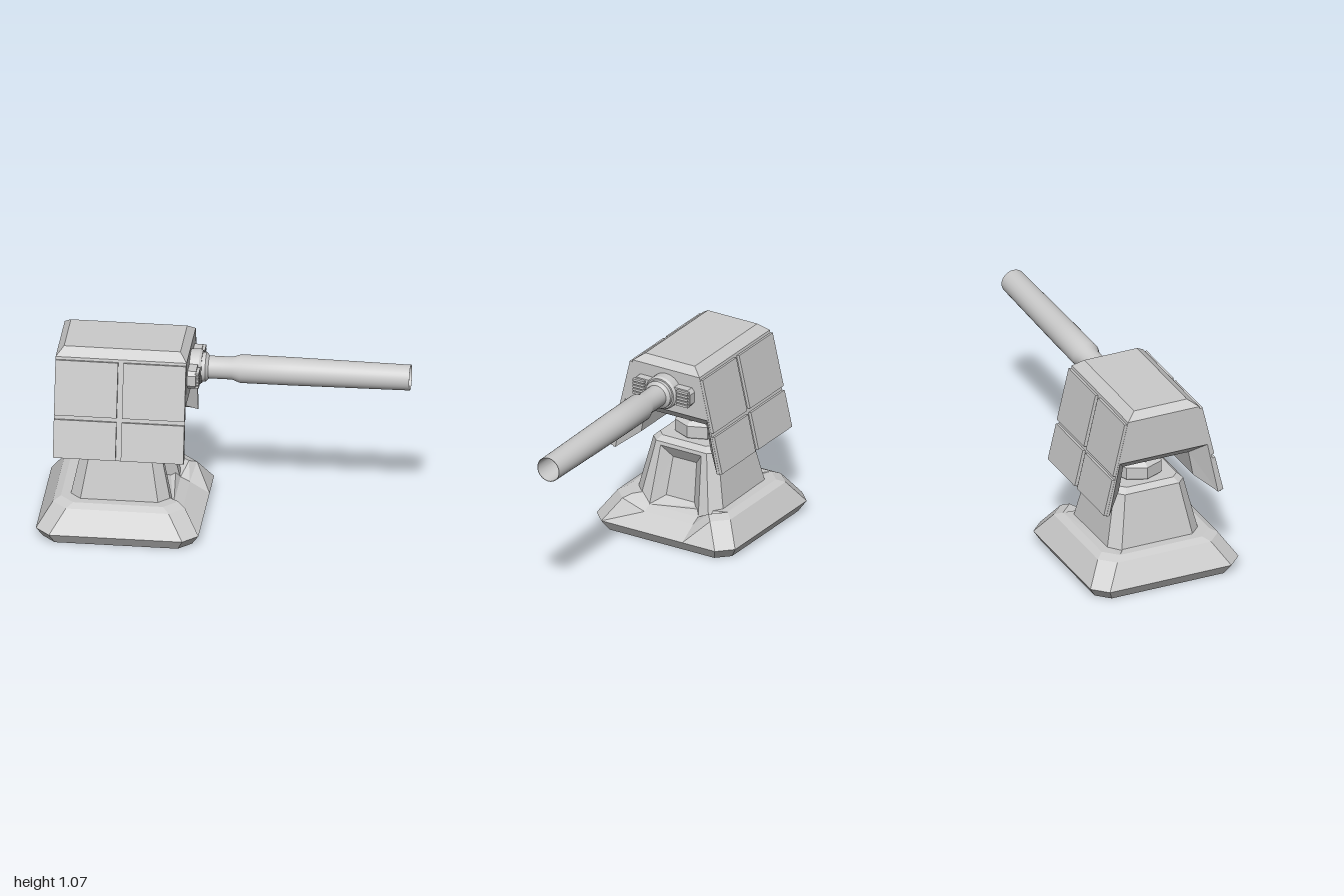
import * as THREE from 'three';
import { toCreasedNormals } from 'three/addons/utils/BufferGeometryUtils.js';

const material = new THREE.MeshStandardMaterial({ color: 0xcccccc, flatShading: true });
const smooth = new THREE.MeshStandardMaterial({ color: 0xcccccc, side: THREE.DoubleSide });

function add(parent, name, geometry, mat = material) {
  const mesh = new THREE.Mesh(geometry, mat);
  mesh.name = name;
  parent.add(mesh);
  return mesh;
}

// Skin between closed rings of [u, v, h] points, capped at both ends.
// Along 'y' the ring lies in (z, x); along 'x' it lies in (y, z).
function loft(rings, axis) {
  const out = [];
  const place = ([u, v, h]) => (axis === 'y' ? new THREE.Vector3(v, h, u) : new THREE.Vector3(h, u, v));
  const tri = (a, b, c) => {
    const p = [a, b, c].map(place);
    if (new THREE.Triangle(...p).getArea() > 1e-8) p.forEach((q) => out.push(q.x, q.y, q.z));
  };
  for (let i = 0; i + 1 < rings.length; i++) {
    const r = rings[i], s = rings[i + 1], n = r.length;
    for (let j = 0; j < n; j++) {
      const k = (j + 1) % n;
      tri(r[j], r[k], s[k]);
      tri(r[j], s[k], s[j]);
    }
  }
  const cap = (ring, flip) => {
    const faces = THREE.ShapeUtils.triangulateShape(ring.map(([u, v]) => new THREE.Vector2(u, v)), []);
    faces.forEach(([a, b, c]) => (flip ? tri(ring[a], ring[c], ring[b]) : tri(ring[a], ring[b], ring[c])));
  };
  cap(rings[0], true);
  cap(rings[rings.length - 1], false);
  const g = new THREE.BufferGeometry();
  g.setAttribute('position', new THREE.Float32BufferAttribute(out, 3));
  g.computeVertexNormals();
  return g;
}

// Square ring with cut corners; extra points go into its +x side.
function cutSquare(half, cut, y, extra = []) {
  const k = half - cut;
  const p = [[half, -k], [half, k], [k, half], [-k, half], [-half, k], [-half, -k], [-k, -half], [k, -half]];
  const ring = p.map(([u, v]) => [u, v, y]);
  ring.splice(3, 0, ...extra);
  return ring;
}

function buildStand() {
  const stand = new THREE.Group();
  stand.name = 'stand';

  // Sloping foot, dipped in the middle of its +x side
  const dip = (x, y) => [[0.155, x, y], [-0.155, x, y]];
  add(stand, 'foot', loft([
    cutSquare(0.405, 0.07, 0, dip(0.405, 0)),
    cutSquare(0.443, 0.08, 0.06, dip(0.443, 0.06)),
    cutSquare(0.36, 0.08, 0.185, dip(0.335, 0.125)),
    cutSquare(0.32, 0.075, 0.205, dip(0.285, 0.15)),
  ], 'y'));

  // Tapered tower with a bevelled recess: [y, half, cut, recess rim, recess floor, depth]
  const tower = [
    [0.14, 0.284, 0.06, 0.156, 0.156, 0],
    [0.15, 0.282, 0.06, 0.155, 0.155, 0],
    [0.195, 0.272, 0.059, 0.152, 0.09, 0.055],
    [0.41, 0.226, 0.05, 0.135, 0.075, 0.055],
    [0.48, 0.211, 0.046, 0.13, 0.13, 0],
    [0.5, 0.207, 0.045, 0.128, 0.128, 0],
    [0.527, 0.178, 0.04, 0.12, 0.12, 0],
  ];
  add(stand, 'tower', loft(tower.map(([y, h, c, w, n, d]) => cutSquare(h, c, y,
    [[w, h, y], [n, h - d, y], [-n, h - d, y], [-w, h, y]])), 'y'));

  // Eight-sided swivel, two steps
  const steps = [[0, 0.51], [0.13, 0.51], [0.147, 0.535], [0.147, 0.6], [0.12, 0.622],
    [0.098, 0.622], [0.098, 0.678], [0.07, 0.705], [0, 0.72]];
  add(stand, 'swivel', new THREE.LatheGeometry(steps.map(([r, y]) => new THREE.Vector2(r, y)), 8).toNonIndexed());
  stand.position.x = -0.557;
  return stand;
}

function buildHead() {
  const head = new THREE.Group();
  head.name = 'head';
  const half = 0.357;

  // Arched housing whose opening narrows inward from both ends
  const section = (x, [archZ, archY], [footZ, footY]) => [
    [0.48, 0.342], [0.48, -0.342].map((c) => c), [footY, -footZ], [archY, -archZ], [archY, archZ], [footY, footZ],
  ].map((p) => [...p, x]);
  const ring = (x, arch, foot) => {
    const s = section(x, arch, foot);
    return [s[0], [1.03, 0.213, x], [1.03, -0.213, x], ...s.slice(1)].reverse();
  };
  const wide = [[0.262, 0.785], [0.325, 0.48]], narrow = [[0.195, 0.705], [0.222, 0.56]];
  add(head, 'housing', loft([
    ring(-half, ...wide), ring(-half + 0.1, ...narrow), ring(half - 0.1, ...narrow), ring(half, ...wide),
  ].map(orient), 'x'));

  // Bevelled roof
  const rect = (x, z, y) => [[z, -x, y], [z, x, y], [-z, x, y], [-z, -x, y]];
  add(head, 'roof', loft([rect(half, 0.213, 1.03), rect(half - 0.04, 0.158, 1.07)], 'y'));

  // Two by two armour plates on each sloping side
  const tilt = Math.atan2(0.129, 0.55), thick = 0.017;
  for (const side of [1, -1]) {
    for (const [top, bottom] of [[1.015, 0.715], [0.692, 0.484]]) {
      for (const end of [1, -1]) {
        const y = (top + bottom) / 2, z = 0.213 + (1.03 - y) * Math.tan(tilt);
        const plate = add(head, 'armourPlate',
          new THREE.BoxGeometry(0.341, (top - bottom) / Math.cos(tilt), thick));
        plate.position.set(end * 0.185, y + Math.sin(tilt) * thick / 2, side * (z + Math.cos(tilt) * thick / 2));
        plate.rotation.x = -side * tilt;
      }
    }
  }
  head.position.x = -0.553;
  return head;
}

// Make a ring run counter-clockwise
function orient(ring) {
  const area = THREE.ShapeUtils.area(ring.map(([u, v]) => new THREE.Vector2(u, v)));
  return area < 0 ? ring.slice().reverse() : ring;
}

function buildGun() {
  const gun = new THREE.Group();
  gun.name = 'gun';
  const turned = (name, pts, segments) => {
    const g = new THREE.LatheGeometry(pts.map(([x, r]) => new THREE.Vector2(r, x)), segments);
    g.rotateZ(-Math.PI / 2);
    return add(gun, name, toCreasedNormals(g, 0.45), smooth);
  };
  turned('collar', [[-0.21, 0.096], [-0.145, 0.096], [-0.132, 0.088], [-0.132, 0.08],
    [-0.112, 0.08], [-0.097, 0.062]], 32);
  // Barrel with a tapering open bore
  turned('barrel', [[-0.15, 0.062], [0.03, 0.062], [0.075, 0.078], [0.35, 0.077], [1, 0.07],
    [1, 0.067], [0.6, 0.05], [0.6, 0]], 32);

  // Ribbed lugs either side of the collar
  const lug = [[0.05, 0.052], [0.165, 0.052], [0.183, 0.03], [0.183, -0.03], [0.165, -0.052], [0.05, -0.052]];
  for (const side of [1, -1]) {
    const at = (x) => orient(lug.map(([z, y]) => [y, side * z, x]));
    add(gun, 'lug', loft([at(-0.2), at(-0.15)], 'x'));
    for (let i = -2; i <= 2; i++) {
      const rib = add(gun, 'lugRib', new THREE.BoxGeometry(0.02, 0.013, 0.075));
      rib.position.set(-0.144, i * 0.019, side * 0.14);
    }
  }
  gun.position.y = 0.907;
  return gun;
}

export function createModel() {
  const model = new THREE.Group();
  model.name = 'turret';
  model.add(buildStand(), buildHead(), buildGun());
  return model;
}
